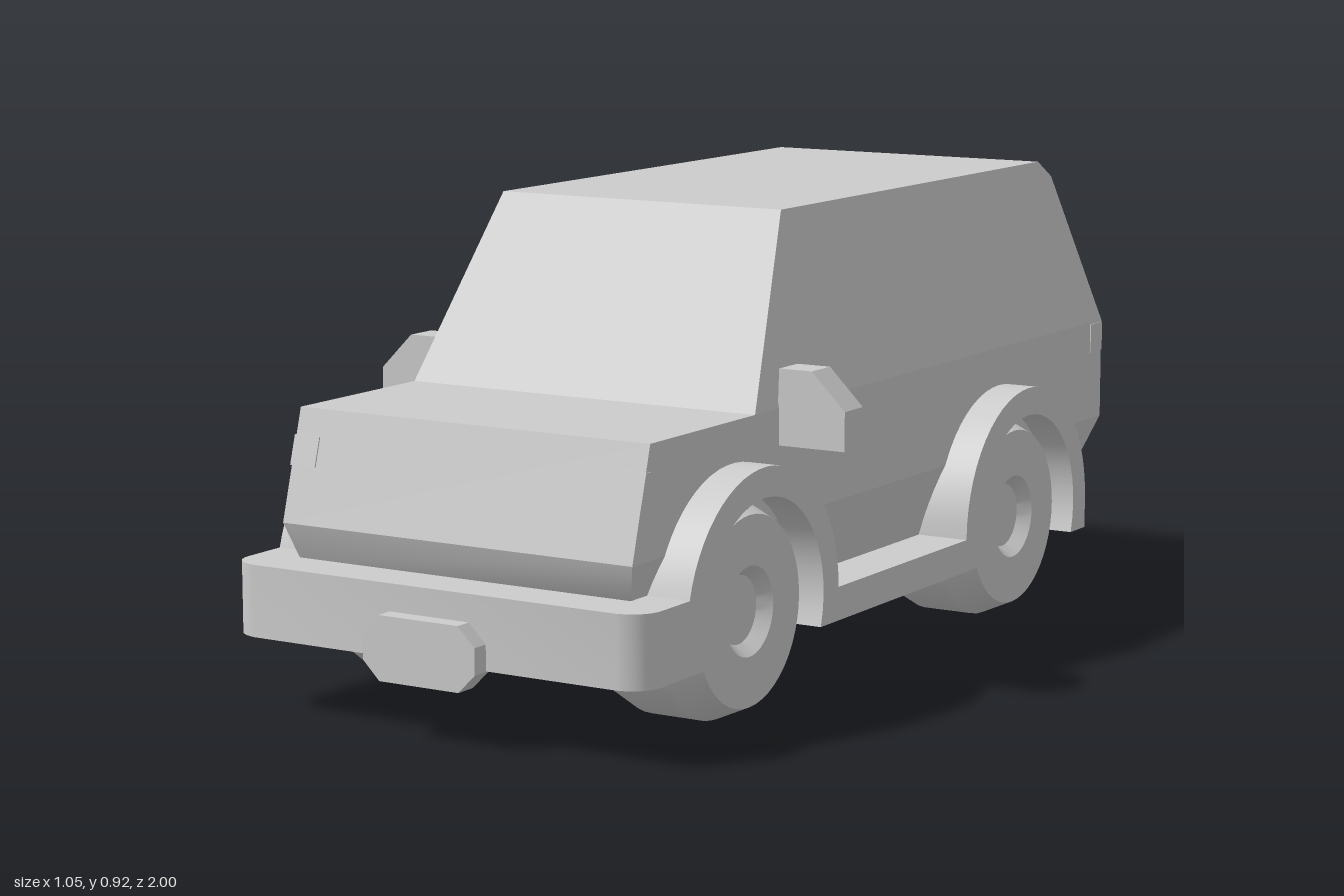
import * as THREE from 'three';
import { toCreasedNormals } from 'three/addons/utils/BufferGeometryUtils.js';

const paint = new THREE.MeshStandardMaterial({ color: 0xcccccc });
paint.name = 'lightGrey';

const polygon = (points) => new THREE.Shape(points.map(([x, y]) => new THREE.Vector2(x, y)));

// Side profile in (z, y), extruded across the car from x0 to x1
function sidePrism(points, x0, x1) {
  const shape = polygon(points.map(([z, y]) => [-z, y]));
  const geometry = new THREE.ExtrudeGeometry(shape, { depth: x1 - x0, bevelEnabled: false });
  return geometry.rotateY(Math.PI / 2).translate(x0, 0, 0);
}

// Side profile whose half width changes linearly with height
function taperedPrism(points, y0, half0, y1, half1) {
  const geometry = sidePrism(points, -1, 1);
  const pos = geometry.attributes.position;
  for (let i = 0; i < pos.count; i++) {
    const t = (pos.getY(i) - y0) / (y1 - y0);
    pos.setX(i, Math.sign(pos.getX(i)) * THREE.MathUtils.lerp(half0, half1, t));
  }
  return geometry;
}

// Front outline in (x, y), extruded from z0 to z1
function frontPrism(points, z0, z1) {
  const geometry = new THREE.ExtrudeGeometry(polygon(points), { depth: z1 - z0, bevelEnabled: false });
  return geometry.translate(0, 0, z0);
}

// Points of a circular arc in the side plane
function arc(cz, radius, from, to, steps = 28) {
  return Array.from({ length: steps + 1 }, (_, i) => {
    const a = from + (to - from) * i / steps;
    return [cz + radius * Math.cos(a), 0.21 + radius * Math.sin(a)];
  });
}

export function createModel() {
  const car = new THREE.Group();
  car.name = 'car';
  const add = (name, geometry, crease = 0.45) => {
    const mesh = new THREE.Mesh(toCreasedNormals(geometry, crease), paint);
    mesh.name = name;
    car.add(mesh);
    return mesh;
  };
  const axles = { front: 0.55, rear: -0.515 };

  // Body in three layers: cabin, straight middle and inward-sloping skirt
  add('cabin', taperedPrism(
    [[0.47, 0.56], [0.26, 0.915], [-0.82, 0.915], [-0.87, 0.88], [-1, 0.56]],
    0.56, 0.385, 0.915, 0.316));
  add('bodyMiddle', sidePrism(
    [[0.89, 0.35], [0.83, 0.56], [-1, 0.56], [-1, 0.35]], -0.385, 0.385));
  add('bodySkirt', taperedPrism(
    [[0.865, 0.28], [0.89, 0.35], [-1, 0.35], [-0.955, 0.28], [-0.77, 0.205], [0.8, 0.205]],
    0.205, 0.345, 0.35, 0.385));

  // Floor between the side panels
  const floor = new THREE.BoxGeometry(0.77, 0.065, 1.685);
  add('floor', floor.translate(0, 0.1775, 0.0575));

  // Front bumper with rounded corners in plan
  const plan = new THREE.Shape();
  plan.moveTo(-0.455, -0.79);
  plan.lineTo(0.455, -0.79);
  plan.lineTo(0.455, -0.91);
  plan.quadraticCurveTo(0.45, -0.955, 0.40, -0.965);
  plan.lineTo(-0.40, -0.965);
  plan.quadraticCurveTo(-0.45, -0.955, -0.455, -0.91);
  const bumper = new THREE.ExtrudeGeometry(plan, { depth: 0.137, bevelEnabled: false, curveSegments: 8 });
  add('frontBumper', bumper.rotateX(-Math.PI / 2).translate(0, 0.145, 0));

  // Side panels: wheel arches joined by a sill
  const outer = 0.272, inner = 0.215;
  const start = Math.asin(0.07 / outer), low = Math.asin(0.065 / inner);
  const panel = [
    [0.85, 0.145], [0.85, 0.28],
    ...arc(axles.front, outer, start, Math.PI),
    ...arc(axles.rear, outer, 0, Math.PI),
    [axles.rear - outer, 0.145],
    ...arc(axles.rear, inner, Math.PI + low, -low),
    ...arc(axles.front, inner, Math.PI + low, -low),
  ];
  add('leftFenders', sidePrism(panel, 0.34, 0.455));
  add('rightFenders', sidePrism(panel, -0.455, -0.34));

  // Wheels: chamfered tyre and recessed hub, turned about the axle
  const wheelProfile = [
    [0, 0.175], [0.18, 0.175], [0.21, 0.245], [0.21, 0.355], [0.18, 0.422],
    [0.085, 0.422], [0.065, 0.397], [0, 0.397],
  ].map(([r, x]) => new THREE.Vector2(r, x));
  const wheel = new THREE.LatheGeometry(wheelProfile, 48).rotateZ(-Math.PI / 2);
  for (const [end, z] of Object.entries(axles)) {
    for (const [side, turn] of [['Left', 0], ['Right', Math.PI]]) {
      const mesh = add(end + side + 'Wheel', wheel.clone(), 0.35);
      mesh.position.set(0, 0.21, z);
      mesh.rotation.y = turn;
    }
  }

  // Octagonal number plates
  const plate = (y0, y1, c = 0.036) => [
    [-0.123, y0 + c], [-0.123 + c, y0], [0.123 - c, y0], [0.123, y0 + c],
    [0.123, y1 - c], [0.123 - c, y1], [-0.123 + c, y1], [-0.123, y1 - c]];
  add('frontPlate', frontPrism(plate(0.108, 0.23), 0.955, 1));
  add('rearPlate', frontPrism(plate(0.09, 0.21), -0.815, -0.775));

  // Door mirrors and corner lamps on both sides
  for (const [side, s] of [['left', 1], ['right', -1]]) {
    add(side + 'Mirror', frontPrism(
      [[0.38, 0.49], [0.525, 0.49], [0.525, 0.565], [0.455, 0.635], [0.385, 0.635]]
        .map(([x, y]) => [s * x, y]), 0.315, 0.383));
    const x0 = s > 0 ? 0.33 : -0.387;
    add(side + 'Headlamp', sidePrism(
      [[0.863, 0.455], [0.847, 0.51], [0.83, 0.51], [0.846, 0.455]], x0, x0 + 0.057));
    add(side + 'TailLamp', sidePrism(
      [[-0.945, 0.495], [-0.945, 0.556], [-1, 0.556], [-1, 0.495]], x0, x0 + 0.057));
  }
  return car;
}
